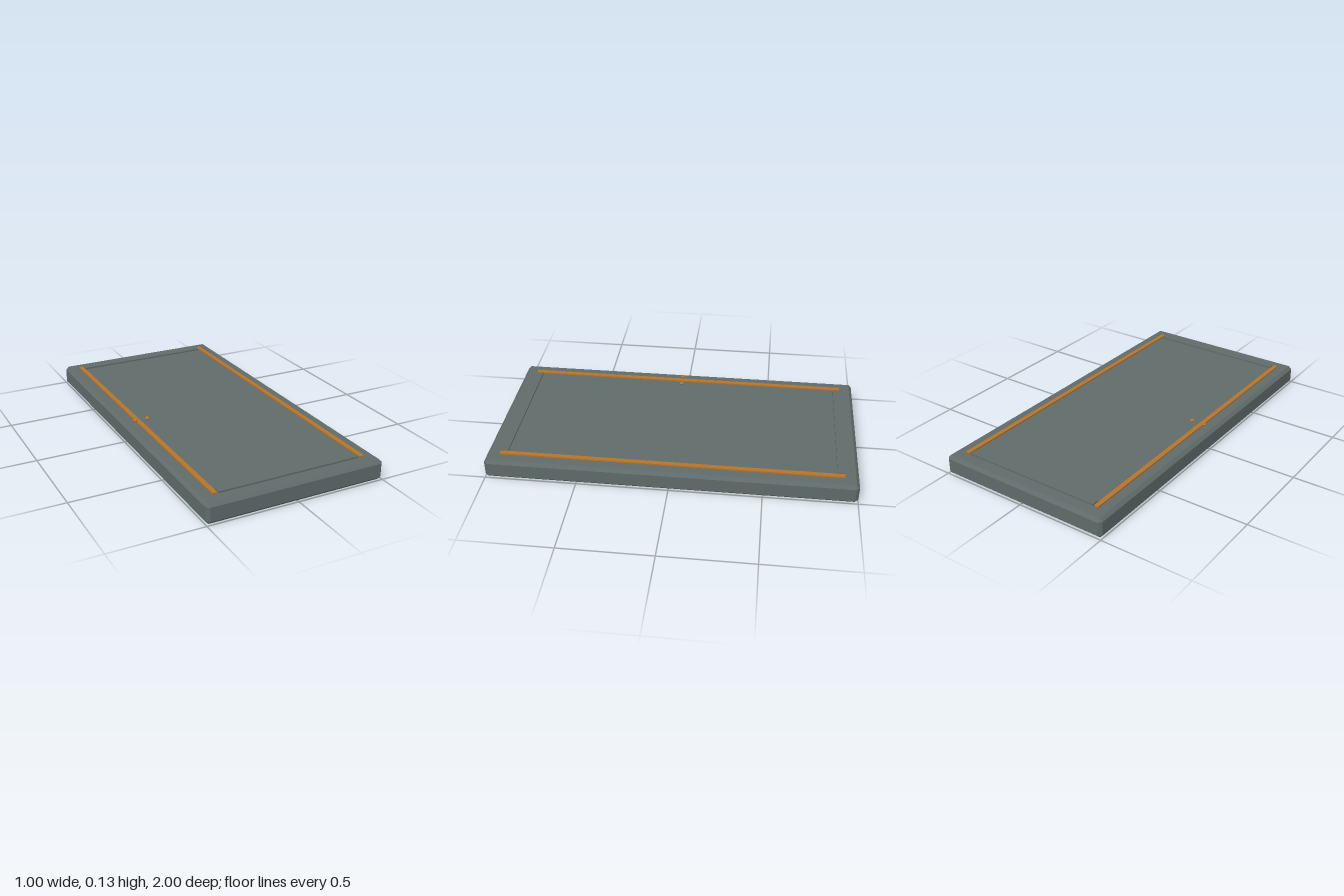
import * as THREE from 'three';
import { ConvexGeometry } from 'three/addons/geometries/ConvexGeometry.js';

// Box with every edge and corner cut off by c
function chamferedBox(w, h, d, c) {
  const points = [];
  for (const sx of [-1, 1]) for (const sy of [-1, 1]) for (const sz of [-1, 1]) {
    const x = w / 2, y = h / 2, z = d / 2;
    points.push(
      new THREE.Vector3(sx * x, sy * (y - c), sz * (z - c)),
      new THREE.Vector3(sx * (x - c), sy * y, sz * (z - c)),
      new THREE.Vector3(sx * (x - c), sy * (y - c), sz * z));
  }
  return new ConvexGeometry(points);
}

export function createModel() {
  const group = new THREE.Group();
  const slate = new THREE.MeshStandardMaterial({ color: 0x5f6b6a, flatShading: true });
  slate.name = 'slate grey';
  const brass = new THREE.MeshStandardMaterial({ color: 0xb5742a, flatShading: true });
  brass.name = 'brass';

  const add = (name, geometry, material, x, y, z) => {
    const mesh = new THREE.Mesh(geometry, material);
    mesh.name = name;
    mesh.position.set(x, y, z);
    group.add(mesh);
  };

  // Door slab
  add('slab', chamferedBox(1, 0.11, 2, 0.017), slate, 0, 0.055, 0);

  // Raised border: brass strips along the sides, grey rails at the ends
  const strip = new THREE.BoxGeometry(0.026, 0.008, 1.85);
  const rail = new THREE.BoxGeometry(0.8, 0.009, 0.036);
  for (const s of [-1, 1]) {
    add(s < 0 ? 'rightStrip' : 'leftStrip', strip, brass, s * 0.419, 0.115, 0);
    add(s < 0 ? 'backRail' : 'frontRail', rail, slate, 0, 0.1145, s * 0.904);
  }

  // Small faceted knobs
  const profile = [[0, -0.007], [0.008, -0.007], [0.014, 0], [0.008, 0.007], [0, 0.007]]
    .map(([r, y]) => new THREE.Vector2(r, y));
  const knob = new THREE.LatheGeometry(profile, 8);
  add('outerKnob', knob, brass, -0.441, 0.127, 0.02);
  add('innerKnob', knob, brass, -0.367, 0.127, 0.02);

  return group;
}
